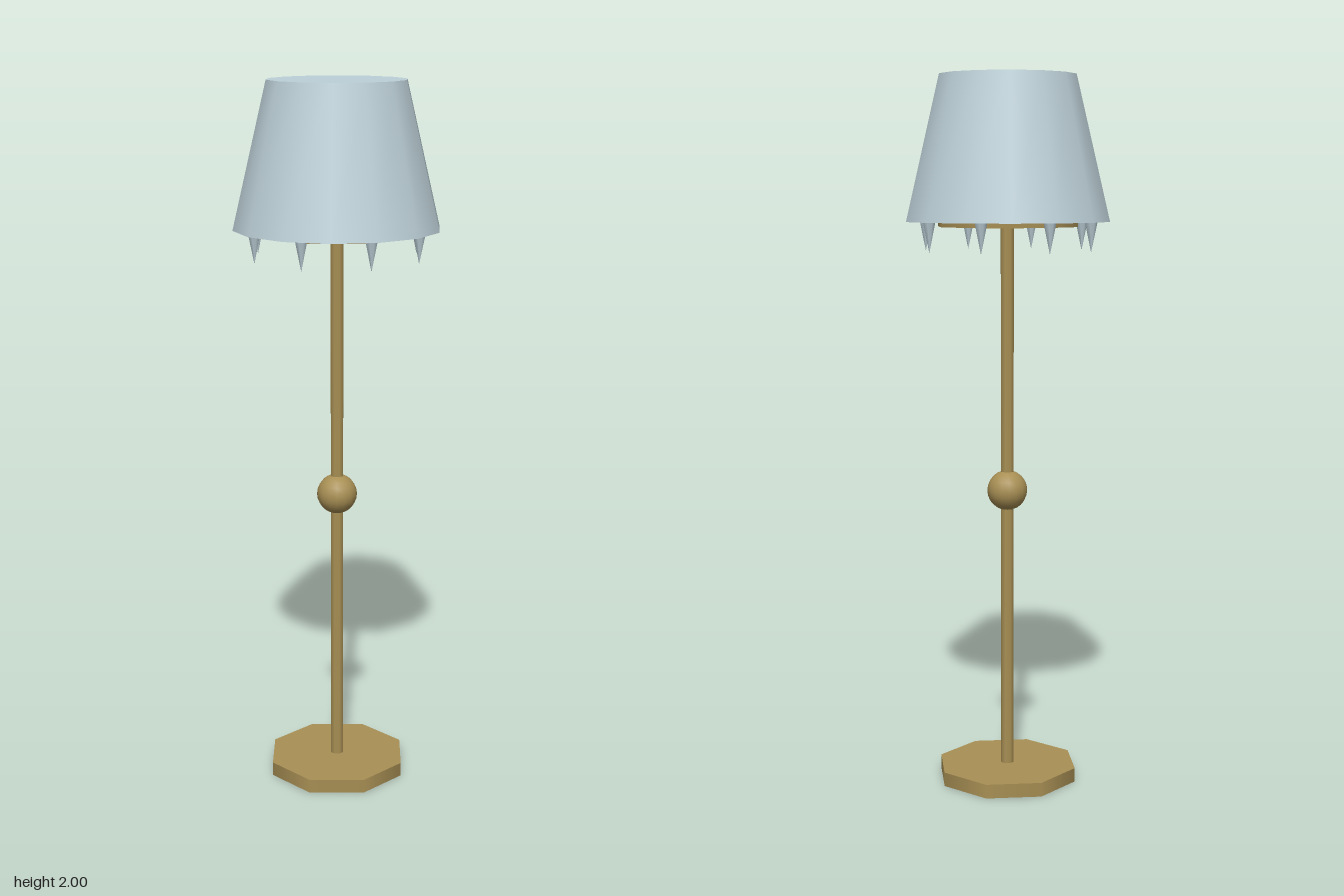
import * as THREE from 'three';

export function createModel() {
  const model = new THREE.Group();
  const brass = new THREE.MeshStandardMaterial({ color: 0xa88f54 });
  brass.name = 'brass';
  const paleBlue = new THREE.MeshStandardMaterial({ color: 0xbdd0d8 });
  paleBlue.name = 'pale blue';

  const add = (name, geometry, material, y, x = 0, z = 0) => {
    const mesh = new THREE.Mesh(geometry, material);
    mesh.name = name;
    mesh.position.set(x, y, z);
    model.add(mesh);
    return mesh;
  };

  // Octagonal foot, thin pole and the ball at its middle
  const disc = new THREE.CylinderGeometry(0.203, 0.203, 0.04, 8);
  add('base', disc, brass, 0.02);
  add('pole', new THREE.CylinderGeometry(0.019, 0.019, 1.56, 8), brass, 0.82);
  add('poleBall', new THREE.SphereGeometry(0.057, 16, 12), brass, 0.843);

  // Plate that carries the shade, mostly sunk into it
  add('shadePlate', disc, brass, 1.606);

  // Closed fourteen-sided shade
  add('shade', new THREE.CylinderGeometry(0.192, 0.287, 0.4, 14), paleBlue, 1.8);

  // Ring of hanging spikes under the rim
  const spike = new THREE.ConeGeometry(0.018, 0.085, 8);
  spike.rotateX(Math.PI);
  for (let i = 0; i < 8; i++) {
    const a = (i / 8) * Math.PI * 2;
    add('spike', spike, paleBlue, 1.559, 0.24 * Math.sin(a), 0.24 * Math.cos(a));
  }

  return model;
}
